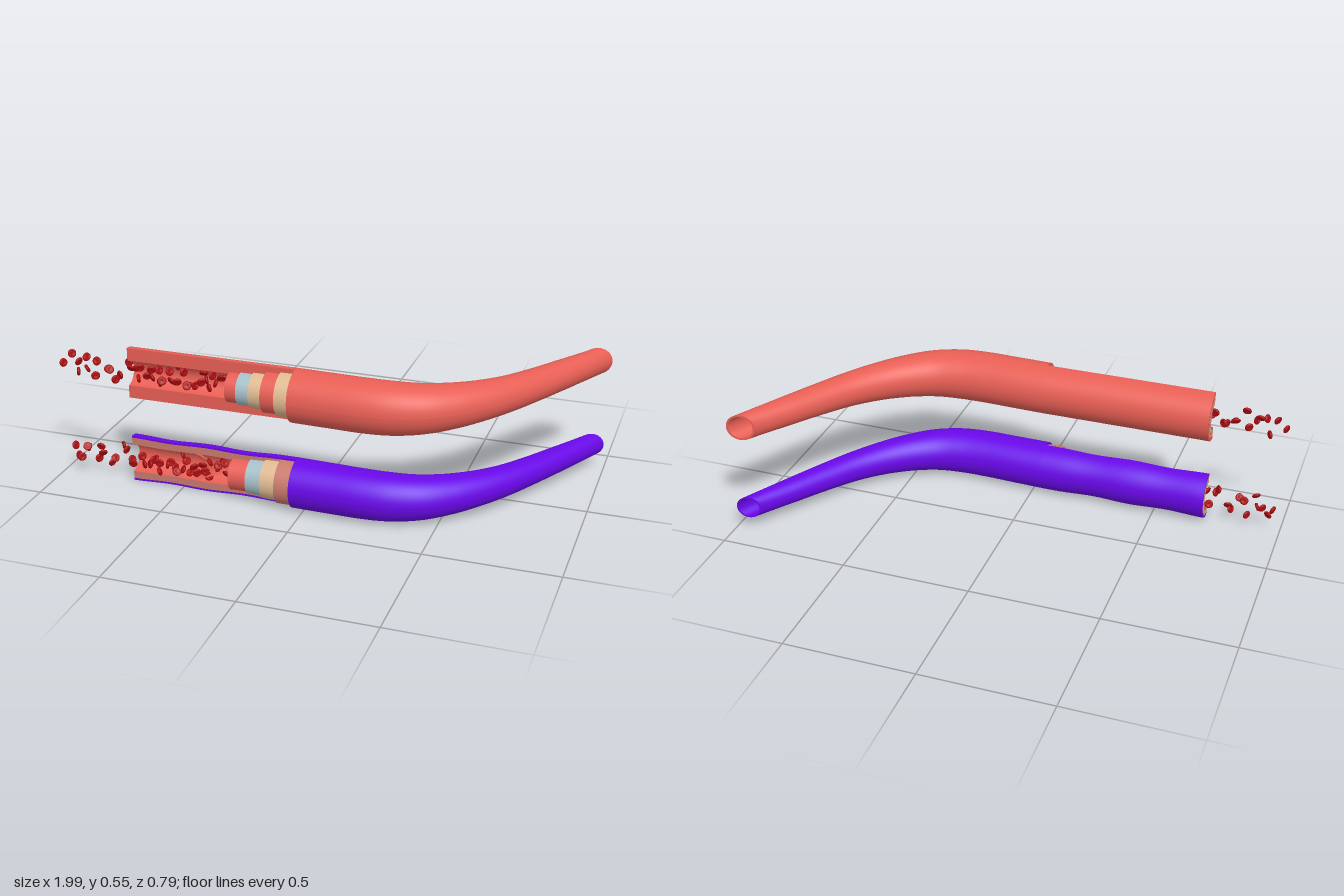
import * as THREE from 'three';
import { mergeGeometries } from 'three/addons/utils/BufferGeometryUtils.js';

const mat = (name, color) => {
  const m = new THREE.MeshStandardMaterial({ color, side: THREE.DoubleSide });
  m.name = name;
  return m;
};

const AXIS_Z = 0.29, CUT_END = -0.705, WALL_START = -0.04;

// Stations of the bent vessel: centre x, centre z, side vector x, side vector z, vertical radius
const STATIONS = [
  [-0.04, 0.29, 0, 0.1, 0.1], [0.1, 0.294, 0, 0.1, 0.1], [0.22, 0.297, 0.005, 0.1, 0.1],
  [0.32, 0.29, 0.02, 0.097, 0.098], [0.42, 0.262, 0.042, 0.083, 0.092],
  [0.51, 0.208, 0.054, 0.065, 0.084], [0.6, 0.13, 0.053, 0.053, 0.075],
  [0.685, 0.032, 0.052, 0.042, 0.067], [0.765, -0.087, 0.051, 0.034, 0.061],
  [0.84, -0.21, 0.05, 0.025, 0.057], [0.9, -0.31, 0.051, 0.01, 0.054],
  [0.945, -0.387, 0.055, -0.01, 0.053],
];

// Skin over rings; each ring is { c, s, r, k } (centre, side vector, vertical radius, scale)
function skin(rings, seg = 48) {
  const pos = [], idx = [];
  for (const { c, s, r, k } of rings)
    for (let j = 0; j <= seg; j++) {
      const a = (j / seg) * Math.PI * 2, ca = Math.cos(a) * k;
      pos.push(c.x + s.x * ca, r * Math.sin(a) * k, c.z + s.z * ca);
    }
  const w = seg + 1;
  for (let i = 0; i < rings.length - 1; i++)
    for (let j = 0; j < seg; j++) {
      const a = i * w + j, b = a + w;
      idx.push(a, a + 1, b, b, a + 1, b + 1);
    }
  const g = new THREE.BufferGeometry();
  g.setAttribute('position', new THREE.Float32BufferAttribute(pos, 3));
  g.setIndex(idx);
  g.computeVertexNormals();
  return g;
}

// Bent hollow wall with its rims
function bentWall(scaleStart, scaleEnd, rimScale) {
  const centres = new THREE.CatmullRomCurve3(STATIONS.map(p => new THREE.Vector3(p[0], 0, p[1])));
  const sides = new THREE.CatmullRomCurve3(STATIONS.map(p => new THREE.Vector3(p[2], p[4], p[3])));
  const outer = [], n = 66;
  for (let i = 0; i <= n; i++) {
    const t = i / n, s = sides.getPoint(t);
    outer.push({ c: centres.getPoint(t), s, r: s.y, k: THREE.MathUtils.lerp(scaleStart, scaleEnd, t) });
  }
  const inner = outer.map(o => ({ ...o, k: o.k * rimScale })).reverse();
  return mergeGeometries([
    skin(outer), skin([outer[n], inner[0]]), skin(inner), skin([inner[n], outer[0]]),
  ]);
}

// Half of a straight tube about the x axis, side 1 = front, -1 = back
function halfTube(x0, x1, rIn, rOut, side, wave) {
  const line = r => Array.from({ length: 31 }, (_, i) => {
    const x = x0 + ((x1 - x0) * i) / 30;
    return new THREE.Vector2(r * wave(x), x);
  });
  const o = line(rOut), n = line(rIn).reverse();
  const parts = [o, [o[30], n[0]], n, [n[30], o[0]]].map(p =>
    new THREE.LatheGeometry(p, 28, side > 0 ? -Math.PI / 2 : Math.PI / 2, Math.PI).rotateZ(-Math.PI / 2));
  return mergeGeometries(parts);
}

// Flat faces where the tube is cut open lengthwise
function cutFaces(x0, x1, rIn, rOut, wave) {
  const pts = [];
  for (let i = 0; i <= 30; i++) pts.push([x0 + ((x1 - x0) * i) / 30, rOut]);
  for (let i = 30; i >= 0; i--) pts.push([x0 + ((x1 - x0) * i) / 30, rIn]);
  return mergeGeometries([1, -1].map(s => new THREE.ShapeGeometry(
    new THREE.Shape(pts.map(([x, r]) => new THREE.Vector2(x, s * r * wave(x)))))));
}

// Biconcave blood cell
function cellGeometry() {
  const p = [[0, -0.003], [0.007, -0.004], [0.012, -0.006], [0.016, -0.003], [0.017, 0],
    [0.016, 0.003], [0.012, 0.006], [0.007, 0.004], [0, 0.003]];
  return new THREE.LatheGeometry(p.map(([x, y]) => new THREE.Vector2(x, y)), 16);
}

function seeded(seed) {
  return () => (seed = (seed * 16807) % 2147483647) / 2147483647;
}

export function createModel() {
  const red = mat('artery red', 0xe85f55), purple = mat('vein purple', 0x6a08ea);
  const tan = mat('elastic tan', 0xdfba92), blue = mat('pale blue', 0xa6c0c8);
  const rose = mat('outer coat rose', 0xc97a6c), blood = mat('blood red', 0xac0c10);
  const model = new THREE.Group();
  const add = (group, name, geo, material) => {
    const m = new THREE.Mesh(geo, material);
    m.name = name;
    group.add(m);
    return m;
  };
  const cell = cellGeometry();

  function vessel({ name, y, wall, rOut, rWall, layers, endScale, wave, cutMat, seed, spread }) {
    const g = new THREE.Group();
    g.name = name;
    g.position.y = y;
    add(g, 'bentWall', bentWall(rOut / 0.1, endScale, 0.86), wall);
    const straight = new THREE.Group();
    straight.name = 'cutaway';
    straight.position.z = AXIS_Z;
    g.add(straight);
    add(straight, 'outerWallBack', halfTube(CUT_END, WALL_START, rWall, rOut, -1, wave), wall);
    add(straight, 'outerWallCut', cutFaces(CUT_END, WALL_START, rWall, rOut, wave), wall);

    // Concentric layers, stepped back at the front
    let r = rWall;
    for (const [label, material, rIn, start] of layers) {
      add(straight, label + 'Front', halfTube(start, WALL_START + 0.02, rIn, r, 1, wave), material);
      add(straight, label + 'Back', halfTube(CUT_END, WALL_START, rIn, r, -1, wave), material);
      add(straight, label + 'Cut', cutFaces(CUT_END, start, rIn, r, wave), cutMat);
      r = rIn;
    }

    // Blood cells in the lumen and spilling out of the open end, mostly facing the cut
    const rnd = seeded(seed);
    for (let i = 0; i < 40; i++) {
      const inside = i < 27;
      const t = inside ? (i + rnd()) / 27 : (i - 27 + rnd()) / 13;
      const m = add(straight, 'bloodCell', cell, blood);
      m.position.set(
        inside ? -0.7 + t * 0.4 : -0.985 + t * 0.28,
        (rnd() * 2 - 1) * spread,
        rnd() < 0.75 ? -0.035 + rnd() * 0.025 : rnd() * 0.02);
      m.rotation.set(Math.PI / 2 + (rnd() * 2 - 1) * 0.9, 0, (rnd() * 2 - 1) * 1.2);
    }
    model.add(g);
    return straight;
  }

  vessel({
    name: 'artery', y: 0.45, wall: red, rOut: 0.1, rWall: 0.083, endScale: 1, wave: () => 1,
    cutMat: red, seed: 4711, spread: 0.039,
    layers: [
      ['elasticOuter', tan, 0.077, -0.095], ['muscle', red, 0.068, -0.15],
      ['elasticInner', tan, 0.062, -0.2], ['membrane', blue, 0.057, -0.25],
      ['lining', red, 0.05, -0.295],
    ],
  });

  // The vein wall swells around its valve
  const wave = x => (x < -0.1 ? 1 - 0.027 * (1 - Math.cos(((x + 0.7) / 0.3) * Math.PI * 2)) : 1);
  const vein = vessel({
    name: 'vein', y: 0.097, wall: purple, rOut: 0.094, rWall: 0.086, endScale: 0.86, wave,
    cutMat: rose, seed: 9203, spread: 0.042,
    layers: [
      ['outerCoat', rose, 0.077, -0.1], ['muscle', tan, 0.071, -0.16],
      ['membrane', blue, 0.065, -0.22], ['lining', red, 0.057, -0.29],
    ],
  });

  // Valve leaflets curving in from the vein wall
  const leaf = [[0.057, -0.46], [0.05, -0.43], [0.036, -0.4], [0.024, -0.37], [0.018, -0.345]]
    .map(([r, x]) => new THREE.Vector2(r, x));
  for (const phi of [Math.PI / 2, Math.PI])
    add(vein, 'valveLeaflet',
      new THREE.LatheGeometry(leaf, 14, phi + 0.08, Math.PI / 2 - 0.16).rotateZ(-Math.PI / 2), red);
  return model;
}
